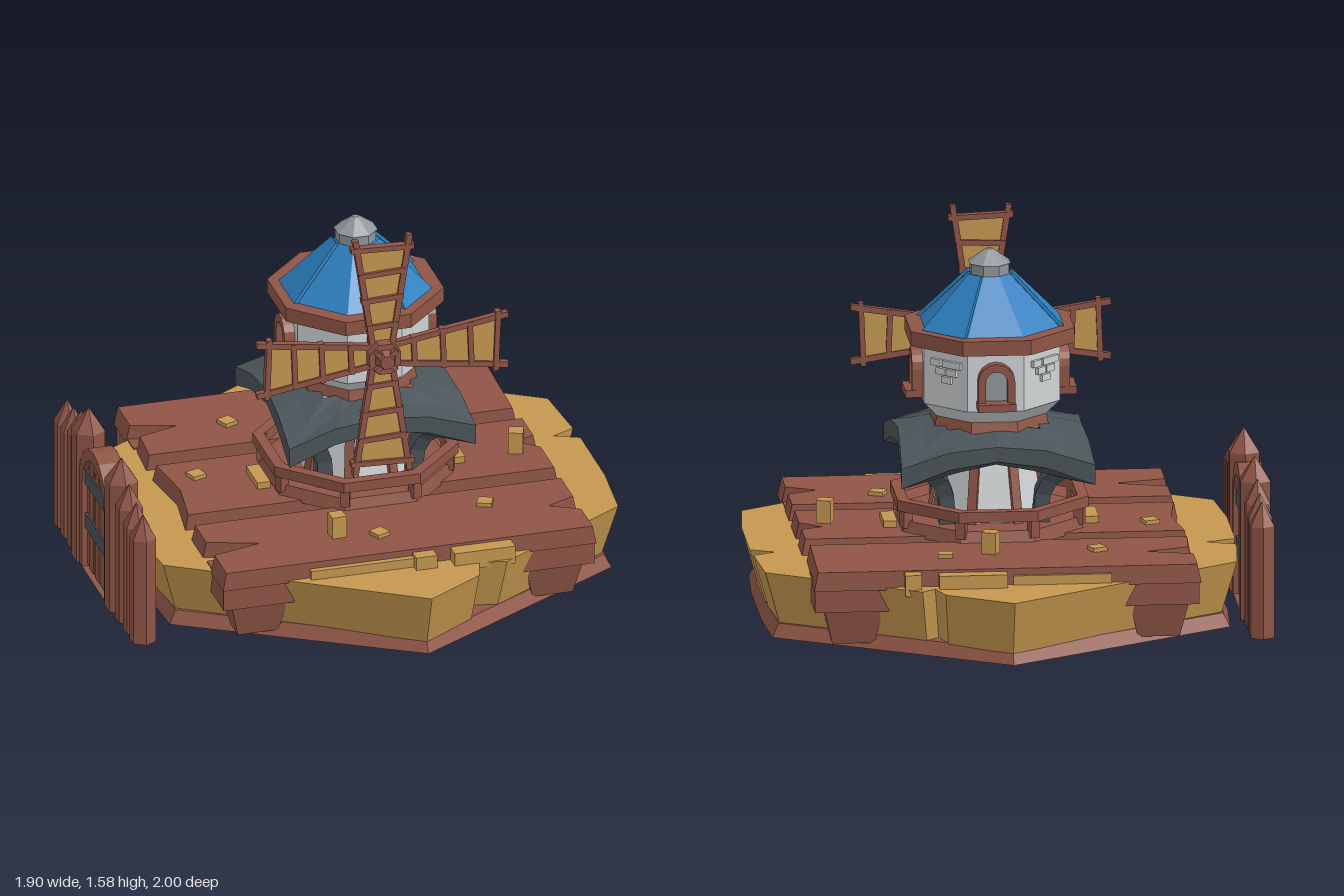
import * as THREE from 'three';

const mat = (name, color) => {
  const m = new THREE.MeshStandardMaterial({ color });
  m.name = name;
  return m;
};
const wood = mat('red brown wood', 0x8f5546);
const sand = mat('tan earth', 0xc4974f);
const slate = mat('dark slate', 0x4b5459);
const wall = mat('pale wall', 0xcfd3d5);
const stone = mat('grey stone', 0x8f969a);
const blue = mat('blue roof', 0x2c7fbf);

const CX = 0.06;                       // tower axis
const OCT = 1 / Math.cos(Math.PI / 8); // apothem to corner radius

// Faceted normals
function flat(g) {
  const f = g.index ? g.toNonIndexed() : g;
  f.computeVertexNormals();
  return f;
}
function add(parent, name, geo, material, x = 0, y = 0, z = 0) {
  const m = new THREE.Mesh(flat(geo), material);
  m.name = name;
  m.position.set(x, y, z);
  parent.add(m);
  return m;
}
const box = (w, h, d) => new THREE.BoxGeometry(w, h, d);
// Octagonal frustum given by apothems, flat side to the front
const oct = (top, bottom, h) =>
  new THREE.CylinderGeometry(top * OCT, bottom * OCT, h, 8).rotateY(Math.PI / 8);
// Upright prism from [x, z] points with scaled bottom and top
function prism(pts, y0, y1, sBottom = 1, sTop = 1) {
  const s = new THREE.Shape(pts.map(([x, z]) => new THREE.Vector2(x, -z)));
  const g = new THREE.ExtrudeGeometry(s, { depth: y1 - y0, bevelEnabled: false });
  g.rotateX(-Math.PI / 2).translate(0, y0, 0);
  const p = g.attributes.position;
  for (let i = 0; i < p.count; i++) {
    const k = p.getY(i) > (y0 + y1) / 2 ? sTop : sBottom;
    p.setX(i, p.getX(i) * k);
    p.setZ(i, p.getZ(i) * k);
  }
  return g;
}
// Octagonal ring with a hole
function octRing(outer, inner, y0, y1) {
  const loop = (a) => Array.from({ length: 8 }, (_, i) => {
    const t = (i + 0.5) * Math.PI / 4;
    return new THREE.Vector2(Math.cos(t) * a * OCT, Math.sin(t) * a * OCT);
  });
  const s = new THREE.Shape(loop(outer));
  s.holes.push(new THREE.Path(loop(inner)));
  return new THREE.ExtrudeGeometry(s, { depth: y1 - y0, bevelEnabled: false })
    .rotateX(-Math.PI / 2).translate(0, y0, 0);
}
// Arched outline: straight sides with a round head
function arch(w, h, Type = THREE.Shape) {
  const s = new Type();
  s.moveTo(-w, 0).lineTo(w, 0).lineTo(w, h - w);
  s.absarc(0, h - w, w, 0, Math.PI, false);
  return s.lineTo(-w, 0);
}
const slab = (shape, depth) =>
  new THREE.ExtrudeGeometry(shape, { depth, bevelEnabled: false, curveSegments: 4 });

function island(root) {
  const g = new THREE.Group();
  g.name = 'island';
  g.position.x = CX;
  root.add(g);
  add(g, 'basePlate', prism([[0, 0.955], [0.84, 0.46], [0.855, 0.2], [0.855, -0.2], [0.84, -0.46],
    [0, -0.955], [-0.84, -0.46], [-0.855, -0.2], [-0.855, 0.2], [-0.84, 0.46]], 0.18, 0.23, 1, 0.97), wood);
  // Earth block with V-shaped cracks
  add(g, 'earth', prism([[0, 1], [0.22, 0.862], [0.25, 0.76], [0.35, 0.78], [0.865, 0.46], [0.89, 0.2],
    [0.89, -0.12], [0.8, -0.16], [0.885, -0.2], [0.865, -0.46], [0.32, -0.8], [0.27, -0.76], [0.24, -0.85],
    [0, -1], [-0.865, -0.46], [-0.888, -0.2], [-0.78, -0.16], [-0.89, -0.12], [-0.89, 0.2], [-0.865, 0.46]],
  0.22, 0.425, 0.935, 1), sand);
  // Plank deck with split ends
  const planks = [
    [-0.51, [[-0.71, -0.21], [0.71, -0.21], [0.7, 0.21], [-0.71, 0.21], [-0.7, 0.05], [-0.54, 0.0], [-0.71, -0.05]]],
    [0, [[-0.71, -0.22], [0.71, -0.22], [0.71, -0.07], [0.63, -0.04], [0.71, 0.03], [0.71, 0.21], [-0.71, 0.21], [-0.68, 0]]],
    [0.5, [[-0.71, -0.21], [0.71, -0.21], [0.71, -0.05], [0.6, 0], [0.71, 0.06], [0.71, 0.21], [-0.71, 0.21],
      [-0.71, 0.05], [-0.52, 0], [-0.71, -0.06]]],
  ];
  for (const [z, pts] of planks) add(g, 'deckPlank', prism(pts, 0.415, 0.485, 1, 0.98), wood, 0, 0, z);
  // Corner brackets under the deck
  for (const sx of [-1, 1]) for (const sz of [-1, 1]) {
    add(g, 'bracketCap', box(0.27, 0.1, 0.22), wood, sx * 0.57, 0.38, sz * 0.59);
    add(g, 'bracketFoot', prism([[-0.11, -0.1], [0.11, -0.1], [0.11, 0.1], [-0.11, 0.1]], 0.2, 0.34, 0.7, 1),
      wood, sx * 0.56, 0, sz * 0.58);
  }
  // Tan edge boards: x, y, z, width, height, depth
  for (const [x, y, z, w, h, d] of [[0.05, 0.44, 0.735, 0.08, 0.07, 0.05], [0.27, 0.44, 0.735, 0.23, 0.07, 0.06],
    [-0.18, 0.435, 0.715, 0.4, 0.05, 0.03], [0.13, 0.44, -0.74, 0.25, 0.07, 0.06], [0.35, 0.44, -0.735, 0.06, 0.08, 0.07],
    [-0.2, 0.435, -0.715, 0.36, 0.05, 0.03],
    [0.37, 0.47, 0, 0.05, 0.08, 0.15], [-0.37, 0.47, 0, 0.05, 0.08, 0.15]])
    add(g, 'edgeBoard', box(w, h, d), sand, x, y, z);
  // Small pegs on the deck: x, z, height
  for (const [x, z, h] of [[-0.35, -0.475, 0.02], [0.04, -0.475, 0.085], [0.21, -0.52, 0.02], [-0.58, -0.09, 0.02],
    [0.6, 0.035, 0.09], [0.37, 0.42, 0.02], [-0.22, 0.515, 0.09], [-0.07, 0.555, 0.02]])
    add(g, 'peg', box(0.055, h, 0.055), sand, x, 0.48 + h / 2, z).rotation.y = x * 2 + z;
  // Cog below the base
  const cog = new THREE.Shape();
  for (let i = 0; i < 6; i++) {
    for (const [da, r] of [[-0.32, 0.13], [-0.17, 0.178], [0.17, 0.178], [0.32, 0.13]]) {
      const a = -Math.PI / 2 + i * Math.PI / 3 + da;
      cog[i || da > -0.3 ? 'lineTo' : 'moveTo'](Math.cos(a) * r, Math.sin(a) * r);
    }
  }
  cog.holes.push(new THREE.Path().absarc(0, 0, 0.075, 0, Math.PI * 2, true));
  add(g, 'cog', slab(cog, 0.14), slate, 0, 0.182, -0.07);
}

function fence(root) {
  const g = new THREE.Group();
  g.name = 'fence';
  g.position.x = -0.893;
  root.add(g);
  for (const s of [-1, 1]) for (const [z, top, r] of [[0.215, 0.76, 0.063], [0.315, 0.7, 0.052], [0.41, 0.67, 0.05], [0.495, 0.66, 0.05]]) {
    add(g, 'post', new THREE.CylinderGeometry(r, r, top - 0.24, 6), wood, 0, 0.15 + (top - 0.24) / 2, s * z);
    add(g, 'postTip', new THREE.ConeGeometry(r, 0.09, 6), wood, 0, top - 0.045, s * z);
  }
  // Arched gate with trim and metal bands
  add(g, 'gate', slab(arch(0.17, 0.5), 0.05).rotateY(Math.PI / 2), wood, -0.025, 0.16, 0);
  const trim = arch(0.185, 0.53);
  trim.holes.push(arch(0.145, 0.485, THREE.Path));
  add(g, 'gateTrim', slab(trim, 0.09).rotateY(Math.PI / 2), wood, -0.045, 0.15, 0);
  for (const y of [0.34, 0.52]) add(g, 'gateBand', box(0.07, 0.06, 0.28), slate, 0, y, 0);
  for (const z of [-0.075, 0, 0.075]) add(g, 'gateBoard', box(0.06, 0.42, 0.055), wood, 0, 0.37, z);
}

// Sagging skirt roof lofted from square loops
function skirtRoof() {
  const prof = [0, 0.5, 1, 0.5]; // closeness to the corner along a side
  // half width, height at mid side, half way and corner
  const loops = [[0.17, 0.88, 0.88, 0.87], [0.26, 0.865, 0.85, 0.825], [0.355, 0.845, 0.83, 0.775],
    [0.355, 0.79, 0.765, 0.7], [0.27, 0.76, 0.735, 0.7], [0.15, 0.76, 0.75, 0.75]];
  const pos = [], idx = [], N = 16;
  for (const [half, ...ys] of loops) for (let i = 0; i < N; i++) {
    const side = Math.floor(i / 4), t = (i % 4) / 2 - 1;
    const c = Math.abs(t), a = side * Math.PI / 2;
    const out = half * (0.95 + 0.05 * c);
    const u = t * half;
    pos.push(out * Math.sin(a) + u * Math.cos(a), ys[c * 2], out * Math.cos(a) - u * Math.sin(a));
  }
  for (let l = 0; l < loops.length - 1; l++) for (let i = 0; i < N; i++) {
    const a = l * N + i, b = l * N + (i + 1) % N;
    idx.push(a, a + N, b, b, a + N, b + N);
  }
  const g = new THREE.BufferGeometry();
  g.setAttribute('position', new THREE.Float32BufferAttribute(pos, 3));
  g.setIndex(idx);
  return g;
}

function tower(root) {
  const g = new THREE.Group();
  g.name = 'tower';
  g.position.x = CX;
  root.add(g);
  // Porch and railing
  add(g, 'porch', oct(0.32, 0.335, 0.05), wood, 0, 0.5, 0);
  add(g, 'railing', octRing(0.35, 0.31, 0.565, 0.605), wood);
  for (let i = 0; i < 8; i++) {
    const a = (i + 0.5) * Math.PI / 4, spoke = new THREE.Group();
    spoke.rotation.y = a;
    g.add(spoke);
    add(spoke, 'railPost', box(0.035, 0.1, 0.035), wood, 0, 0.55, 0.345);
    add(spoke, 'wallTimber', box(0.035, 0.26, 0.03), wood, 0, 0.63, 0.195).rotation.x = -0.2;
    if (i % 2) continue;
  }
  // Curved struts at the four corners
  for (let i = 0; i < 4; i++) {
    const curve = new THREE.CatmullRomCurve3([[0.245, 0.5], [0.25, 0.63], [0.3, 0.71], [0.4, 0.76]]
      .map(([r, y]) => new THREE.Vector3(0, y, r)));
    add(g, 'strut', new THREE.TubeGeometry(curve, 5, 0.04, 4), slate).rotation.y = Math.PI / 4 + i * Math.PI / 2;
  }
  add(g, 'lowerWall', oct(0.15, 0.21, 0.34), wall, 0, 0.67, 0);
  add(g, 'skirtRoof', skirtRoof(), slate);
  add(g, 'collar', oct(0.2, 0.21, 0.045), wood, 0, 0.885, 0);
  add(g, 'flare', oct(0.25, 0.2, 0.055), wall, 0, 0.932, 0);
  add(g, 'upperWall', oct(0.25, 0.25, 0.23), wall, 0, 1.073, 0);
  add(g, 'eave', octRing(0.3, 0.22, 1.18, 1.235), wood);
  add(g, 'roof', oct(0.065, 0.255, 0.2), blue, 0, 1.325, 0);
  // Raised roof panels
  for (const k of [1, 3, 6]) {
    const s = new THREE.Shape([[-0.1, 0], [0.1, 0], [0.03, 0.26], [-0.03, 0.26]].map((p) => new THREE.Vector2(...p)));
    const panel = add(g, 'roofPanel', slab(s, 0.012).rotateX(-Math.atan2(0.19, 0.2)).translate(0, 1.228, 0.255), blue);
    panel.rotation.y = k * Math.PI / 4;
  }
  add(g, 'capBand', oct(0.07, 0.07, 0.045), stone, 0, 1.44, 0);
  add(g, 'capTip', oct(0.012, 0.075, 0.05), stone, 0, 1.485, 0);
  // Arched windows on the sides and back
  for (const a of [Math.PI / 2, Math.PI, -Math.PI / 2]) {
    const w = new THREE.Group();
    w.name = 'window';
    w.rotation.y = a;
    g.add(w);
    const frame = arch(0.068, 0.165);
    frame.holes.push(arch(0.04, 0.136, THREE.Path));
    add(w, 'windowFrame', slab(frame, 0.045), wood, 0, 0.98, 0.245);
    add(w, 'windowPane', slab(arch(0.045, 0.14), 0.008), stone, 0, 0.98, 0.246);
    add(w, 'windowSill', box(0.14, 0.028, 0.07), wood, 0, 0.985, 0.28);
  }
  // Bare bricks on the diagonal walls
  for (const a of [0.75, -0.75]) {
    const b = new THREE.Group();
    b.rotation.y = a * Math.PI;
    g.add(b);
    for (const [x, y] of [[-0.04, 1.125], [0.015, 1.125], [0.055, 1.125], [-0.015, 1.095], [0.035, 1.095], [0.01, 1.065]])
      add(b, 'brick', box(0.045, 0.025, 0.02), wall, x, y, 0.253);
  }
}

function sails(root) {
  const g = new THREE.Group();
  g.name = 'sails';
  g.position.set(CX, 1.11, 0.345);
  root.add(g);
  add(g, 'axle', box(0.06, 0.06, 0.12), wood, 0, 0, -0.05);
  add(g, 'hub', oct(0.06, 0.06, 0.05).rotateX(Math.PI / 2), wood, 0, 0, 0.02);
  add(g, 'hubCap', oct(0.025, 0.038, 0.03).rotateX(Math.PI / 2), wood, 0, 0, 0.06);
  for (let i = 0; i < 4; i++) {
    const blade = new THREE.Group();
    blade.name = 'blade';
    blade.rotation.z = i * Math.PI / 2;
    g.add(blade);
    const cloth = new THREE.Shape([[-0.04, 0.04], [0.04, 0.04], [0.1, 0.44], [-0.1, 0.44]].map((p) => new THREE.Vector2(...p)));
    add(blade, 'cloth', slab(cloth, 0.009), sand, 0, 0, -0.005);
    for (const s of [-1, 1]) {
      add(blade, 'bladeBeam', box(0.022, 0.44, 0.025), wood, s * 0.07, 0.26, 0).rotation.z = -s * 0.15;
      add(blade, 'hubStud', box(0.018, 0.03, 0.03), wood, s * 0.028, 0.028, 0.05).rotation.z = -s * Math.PI / 4;
    }
    for (const [y, w] of [[0.12, 0.12], [0.23, 0.16], [0.335, 0.18], [0.435, 0.24]])
      add(blade, 'bladeBar', box(w, 0.02, 0.03), wood, 0, y, 0).rotation.z = y > 0.4 ? -0.04 : 0.04;
  }
}

export function createModel() {
  const root = new THREE.Group();
  root.name = 'windmillIsland';
  island(root);
  fence(root);
  tower(root);
  sails(root);
  return root;
}
